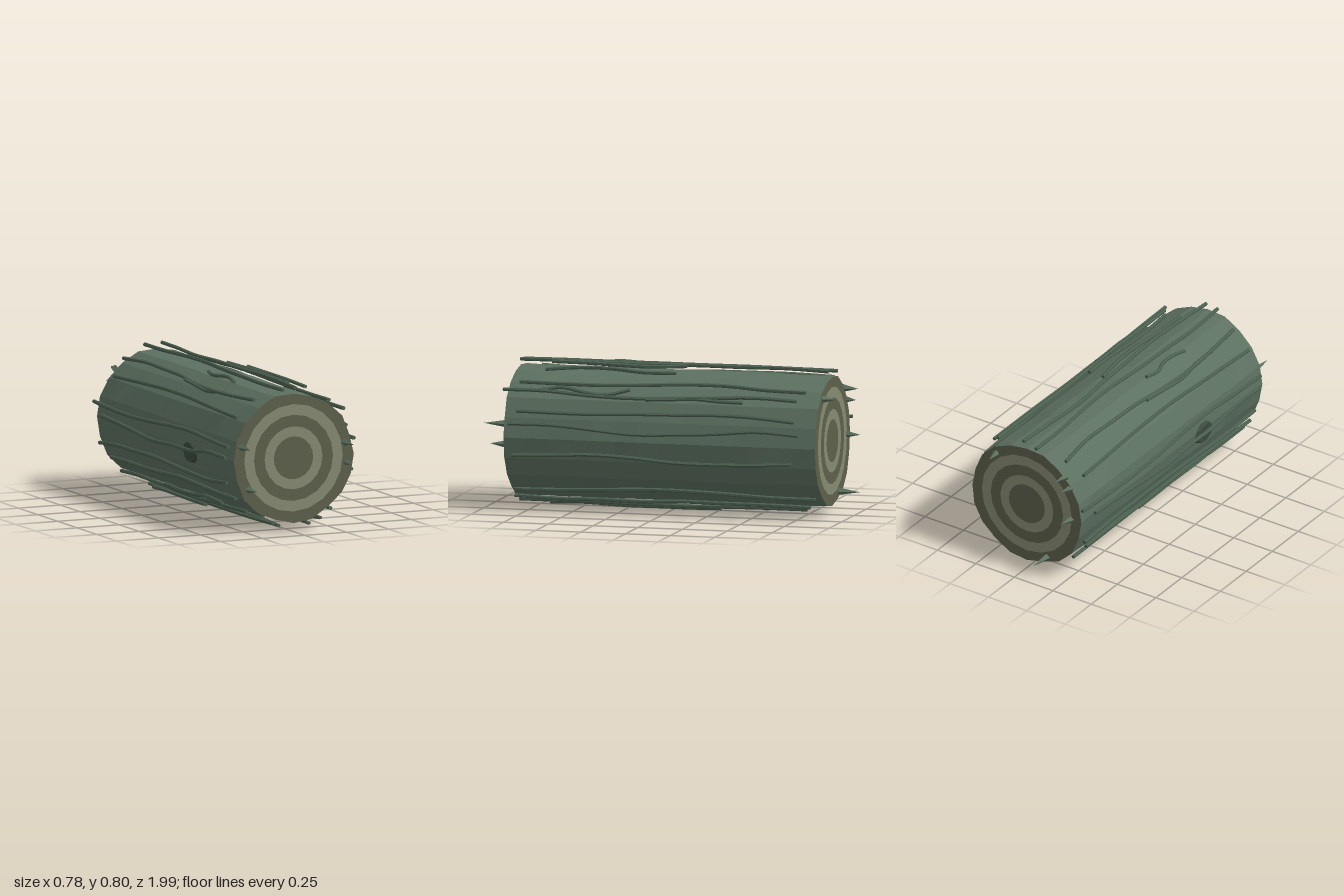
import * as THREE from 'three';

const SIDES = 20, ROWS = 14, CY = 0.402, Z0 = -0.88, Z1 = 0.86;
const mat = (color) => new THREE.MeshStandardMaterial({ color, flatShading: true });

// small repeatable noise in -1..1
const noise = (a, b = 0) => {
  const s = Math.sin(a * 127.1 + b * 311.7) * 43758.5453;
  return (s - Math.floor(s)) * 2 - 1;
};
const rad = THREE.MathUtils.degToRad;
const onLog = (deg, r, z) =>
  new THREE.Vector3(r * Math.cos(rad(deg)), CY + r * Math.sin(rad(deg)), z);

// lumpy bark radius for side i, row j
const barkRadius = (i, j) =>
  0.354 + 0.009 * noise(i % SIDES, 3) + 0.003 * noise(i % SIDES, j + 10);

// Mesh from a grid of points: point(i, j), i around the log, j along it
function gridMesh(name, material, rows, point) {
  const pos = [], idx = [];
  for (let j = 0; j <= rows; j++)
    for (let i = 0; i <= SIDES; i++) pos.push(...point(i, j).toArray());
  for (let j = 0; j < rows; j++)
    for (let i = 0; i < SIDES; i++) {
      const a = j * (SIDES + 1) + i, b = a + SIDES + 1;
      idx.push(a, a + 1, b, a + 1, b + 1, b);
    }
  const g = new THREE.BufferGeometry();
  g.setAttribute('position', new THREE.Float32BufferAttribute(pos, 3));
  g.setIndex(idx);
  g.computeVertexNormals();
  const m = new THREE.Mesh(g, material);
  m.name = name;
  return m;
}

export function createModel() {
  const log = new THREE.Group();
  log.name = 'log';
  const bark = mat(0x5c7060), ridgeMat = mat(0x4c6050), knotMat = mat(0x3c4c40);
  const darkWood = mat(0x5e614c), lightWood = mat(0x878b72);

  // Bark cylinder
  log.add(gridMesh('bark', bark, ROWS, (i, j) =>
    onLog(i * 360 / SIDES, barkRadius(i, j), Z0 + (Z1 - Z0) * j / ROWS)));

  // Cut ends with growth rings
  const rings = [0, 0.117, 0.172, 0.235, 0.293, 1];
  for (const front of [true, false]) {
    const end = new THREE.Group();
    end.name = front ? 'frontCut' : 'backCut';
    for (let k = 0; k < 5; k++) {
      end.add(gridMesh('growthRing', k % 2 ? lightWood : darkWood, 1, (i, j) => {
        const r = rings[k + (front ? 1 - j : j)];
        return onLog(i * 360 / SIDES, r === 1 ? barkRadius(i, front ? ROWS : 0) : r, front ? Z1 : Z0);
      }));
    }
    log.add(end);
  }

  // Bark ridges: [angle, start z, end z, sideways sway in degrees, radius]
  const ridges = [
    [87, -0.87, 0.86, 3.5, 0.383], [80, -0.08, 0.67, 3, 0.385], [68, -0.05, 0.68, 3, 0.387],
    [52, -0.80, 0.80, 3, 0.378], [40, -0.76, 0.88, 3, 0.382], [43, 0.18, 0.68, 4, 0.38],
    [38, -0.46, 0.08, 2, 0.378], [23.5, -0.76, 0.79, 2.5, 0.377], [9.5, -0.79, 0.83, 4, 0.38],
    [-13.5, -0.75, 0.81, 3, 0.38], [-48.5, -0.85, 0.83, 3, 0.375], [-65, -0.80, 0.85, 2.5, 0.378],
    [-76, -0.77, 0.84, 3.5, 0.38], [-83, -0.27, 0.40, 2.5, 0.388], [-91.5, 0.08, 0.70, 2, 0.39],
    [-107, -0.75, 0.80, 3, 0.375], [-115, -0.60, 0.10, 3, 0.388], [-129, -0.80, 0.82, 3.5, 0.382],
    [-133, -0.20, 0.50, 3, 0.38], [-147.5, -0.78, 0.80, 2.5, 0.378], [-160.5, -0.85, 0.78, 3, 0.378],
    [180, -0.78, 0.80, 3, 0.378], [168, -0.89, 0.82, 3, 0.378], [140.5, -0.78, 0.80, 3.5, 0.38],
    [124, -0.83, 0.80, 3, 0.382], [127, -0.05, 0.57, 2, 0.38], [110.5, 0.07, 0.42, 2.5, 0.39],
    [99, -0.89, 0.86, 2.5, 0.38],
  ];
  const ridgeGroup = new THREE.Group();
  ridgeGroup.name = 'barkRidges';
  ridges.forEach(([deg, a, b, sway, r], n) => {
    const pts = [];
    const steps = b - a > 1 ? 7 : 4;
    for (let k = 0; k <= steps; k++) {
      const t = k / steps;
      const off = sway * (0.75 * Math.sin(t * 7 + n * 1.7) + 0.35 * noise(k, n));
      pts.push(onLog(deg + off, r + 0.003 * noise(n, k), a + (b - a) * t));
    }
    const tube = new THREE.TubeGeometry(new THREE.CatmullRomCurve3(pts), steps * 3, 0.0105, 6);
    const ridge = new THREE.Mesh(tube, ridgeMat);
    ridge.name = 'barkRidge';
    ridgeGroup.add(ridge);
    // close both ends of the ridge
    [0, 1].forEach((e) => {
      const cap = new THREE.Mesh(new THREE.CircleGeometry(0.0105, 6), ridgeMat);
      cap.name = 'ridgeEnd';
      cap.position.copy(pts[e * steps]);
      if (!e) cap.rotation.y = Math.PI;
      ridgeGroup.add(cap);
    });
  });
  log.add(ridgeGroup);

  // Flat knots on the bark
  for (const [deg, z] of [[184, 0.3], [-82, 0.42]]) {
    const knot = new THREE.Mesh(new THREE.CylinderGeometry(0.055, 0.065, 0.02, 10), knotMat);
    knot.name = 'knot';
    knot.position.copy(onLog(deg, 0.352, z));
    knot.rotation.z = rad(deg - 90);
    knot.scale.z = 1.3;
    log.add(knot);
  }

  // Splinters on the cut ends: [x, y, tip z, tip drift in x]
  const splinters = [
    [0.30, 0.47, 0.985, 0], [0.31, 0.36, 0.95, -0.01], [-0.27, 0.245, 0.95, 0.01],
    [-0.31, 0.48, 0.975, 0], [-0.25, 0.655, -0.96, 0.015], [-0.28, 0.59, -0.94, 0.02],
    [-0.29, 0.40, -0.96, 0.02], [-0.13, 0.11, -1.0, 0.01], [0.2, 0.655, -0.96, -0.01],
  ];
  splinters.forEach(([x, y, tipZ, dx]) => {
    const base = new THREE.Vector3(x, y, tipZ > 0 ? Z1 - 0.01 : Z0 + 0.01);
    const dir = new THREE.Vector3(x + dx, y, tipZ).sub(base);
    const cone = new THREE.Mesh(new THREE.ConeGeometry(0.022, dir.length(), 4), bark);
    cone.name = 'splinter';
    cone.position.copy(base).addScaledVector(dir, 0.5);
    cone.quaternion.setFromUnitVectors(new THREE.Vector3(0, 1, 0), dir.normalize());
    log.add(cone);
  });

  return log;
}
